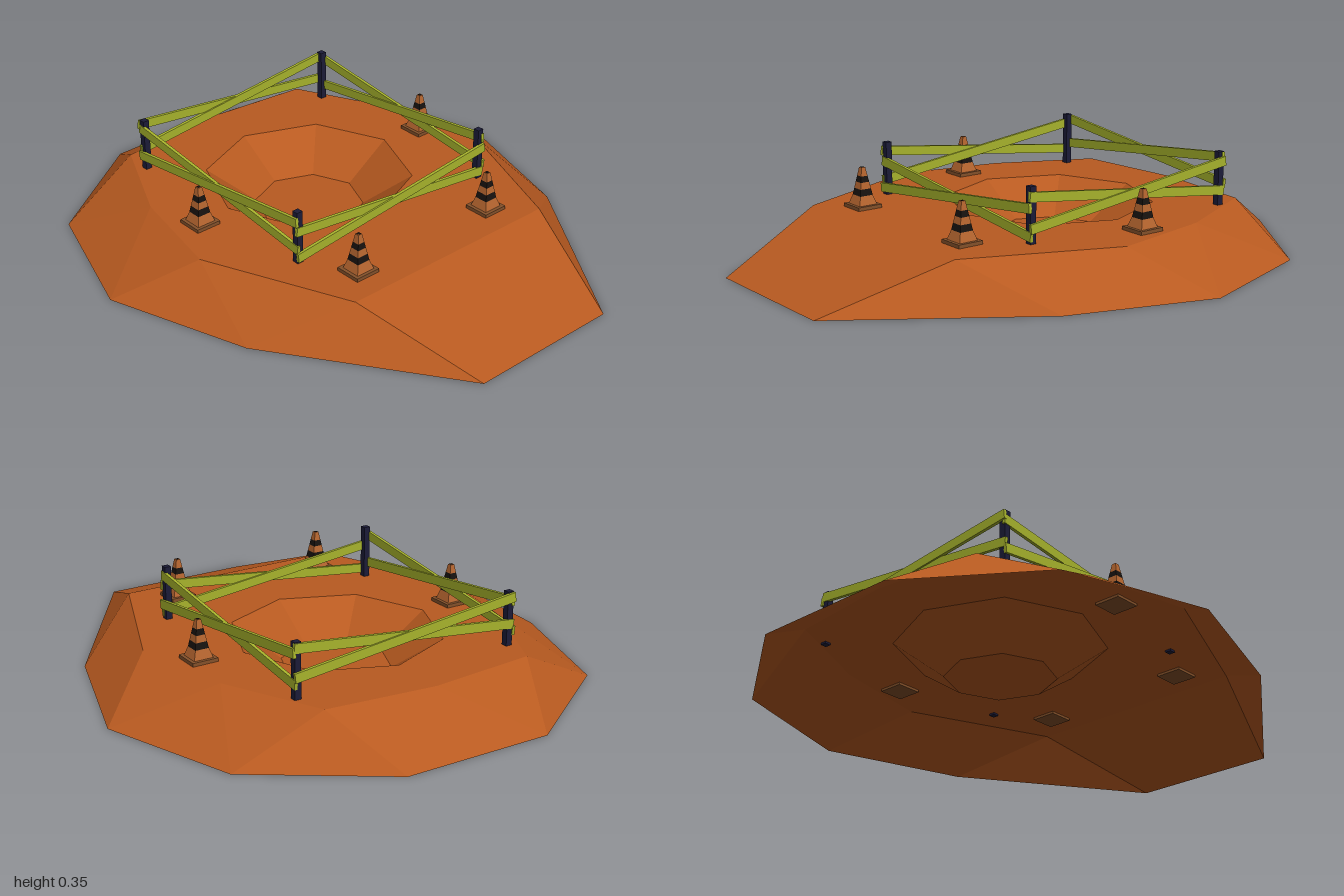
import * as THREE from 'three';

const TOP = 0.157; // height of the plateau
const FLOOR = 0.035; // height of the crater floor
const PIT_X = -0.18;

const mat = (color, side = THREE.FrontSide) =>
  new THREE.MeshStandardMaterial({ color, side, flatShading: true });
const dirt = mat(0xb85a20, THREE.DoubleSide);
const plankMat = mat(0xa8b42c);
const postMat = mat(0x1c1c38);
const orange = mat(0xb5652f);
const black = mat(0x17120f);
const plateMat = mat(0x85512a);

function add(parent, name, geometry, material, x = 0, y = 0, z = 0) {
  const mesh = new THREE.Mesh(geometry, material);
  mesh.name = name;
  mesh.position.set(x, y, z);
  parent.add(mesh);
  return mesh;
}

// Outlines of the back half (z < 0), running from +x to -x
const foot = [[1, -0.29], [0.35, -0.73], [-0.18, -0.9], [-0.69, -0.73], [-1, -0.28]];
const rim = [[0.56, -0.44], [0.02, -0.66], [-0.37, -0.58], [-0.73, -0.41], [-0.77, 0]];

function slopeGeometry() {
  const F = foot.map(([x, z]) => [x, 0, z]);
  const R = rim.map(([x, z]) => [x, TOP, z]);
  const flip = ([x, y, z]) => [x, y, -z];
  const pos = [];
  const tri = (a, b, c) => pos.push(...a, ...b, ...c);
  const both = (a, b, c) => { tri(a, b, c); tri(flip(a), flip(c), flip(b)); };
  for (let i = 0; i < 4; i++) {
    both(F[i], F[i + 1], R[i]);
    both(F[i + 1], R[i + 1], R[i]);
  }
  tri(F[4], flip(F[4]), R[4]);
  tri(flip(F[0]), F[0], R[0]);
  tri(flip(F[0]), R[0], flip(R[0]));
  const g = new THREE.BufferGeometry();
  g.setAttribute('position', new THREE.Float32BufferAttribute(pos, 3));
  g.computeVertexNormals();
  return g;
}

// Flat ground around the crater, with an eight-sided hole
function plateauGeometry() {
  const mirrored = rim.slice(0, 4).reverse().map(([x, z]) => [x, -z]);
  const shape = new THREE.Shape([...rim, ...mirrored].map(([x, z]) => new THREE.Vector2(x, -z)));
  const hole = [];
  for (let i = 0; i < 8; i++) {
    const a = (i * Math.PI) / 4;
    hole.push(new THREE.Vector2(PIT_X + 0.38 * Math.cos(a), 0.38 * Math.sin(a)));
  }
  shape.holes.push(new THREE.Path(hole));
  return new THREE.ShapeGeometry(shape).rotateX(-Math.PI / 2);
}

function makeMound() {
  const g = new THREE.Group();
  g.name = 'mound';
  add(g, 'moundSlope', slopeGeometry(), dirt);
  add(g, 'plateau', plateauGeometry(), dirt, 0, TOP);
  add(g, 'craterWall', new THREE.CylinderGeometry(0.38, 0.2, TOP - FLOOR, 8, 1, true),
    dirt, PIT_X, (TOP + FLOOR) / 2);
  add(g, 'craterFloor', new THREE.CircleGeometry(0.2, 8).rotateX(-Math.PI / 2), dirt, PIT_X, FLOOR);
  return g;
}

// Two crossed planks spanning a length along local x, centred on the origin
function makeCross(length, rise) {
  const g = new THREE.Group();
  g.name = 'crossedPlanks';
  for (const s of [-1, 1]) {
    const plank = add(g, 'plank', new THREE.BoxGeometry(Math.hypot(length, rise), 0.034, 0.012),
      plankMat, 0, 0, s * 0.003);
    plank.rotation.z = s * Math.atan2(rise, length);
  }
  return g;
}

function makeFence() {
  const g = new THREE.Group();
  g.name = 'fence';
  const halfX = 0.43, halfZ = 0.43;
  for (const sx of [-1, 1]) {
    for (const sz of [-1, 1]) {
      add(g, 'post', new THREE.BoxGeometry(0.024, 0.205, 0.024), postMat, sx * halfX, 0.252, sz * halfZ);
    }
    // front and back
    const long = makeCross(2 * halfX + 0.03, 0.11);
    long.position.set(0, 0.265, sx * (halfZ + 0.012));
    g.add(long);
    // sides, one set higher than the other
    const side = makeCross(2 * halfZ + 0.03, 0.1);
    side.rotation.y = Math.PI / 2;
    side.position.set(sx * (halfX + 0.012), sx < 0 ? 0.285 : 0.232, 0);
    g.add(side);
  }
  g.position.set(-0.18, 0, -0.01);
  return g;
}

// Four-sided striped cone on a square plate
function makeCone(x, z) {
  const g = new THREE.Group();
  g.name = 'trafficCone';
  add(g, 'conePlate', new THREE.BoxGeometry(0.098, 0.022, 0.098), plateMat, 0, 0.002);
  const levels = [0.012, 0.046, 0.07, 0.094, 0.116, 0.147];
  const halfWidth = (y) => 0.034 - 0.026 * (y / 0.147);
  for (let i = 0; i < 5; i++) {
    const [y0, y1] = [levels[i], levels[i + 1]];
    const flare = i === 0 ? 0.005 : 0;
    add(g, i % 2 ? 'coneStripe' : 'coneBody',
      new THREE.CylinderGeometry(halfWidth(y1) * Math.SQRT2, (halfWidth(y0) + flare) * Math.SQRT2, y1 - y0, 4)
        .rotateY(Math.PI / 4),
      i % 2 ? black : orange, 0, (y0 + y1) / 2);
  }
  add(g, 'coneTip', new THREE.BoxGeometry(0.01, 0.002, 0.01), black, 0, 0.147);
  g.position.set(x, TOP, z);
  return g;
}

export function createModel() {
  const model = new THREE.Group();
  model.name = 'fencedCrater';
  model.add(makeMound(), makeFence());
  for (const [x, z] of [[0.43, -0.3], [0.43, 0.31], [-0.155, -0.54], [-0.165, 0.515]]) {
    model.add(makeCone(x, z));
  }
  return model;
}
